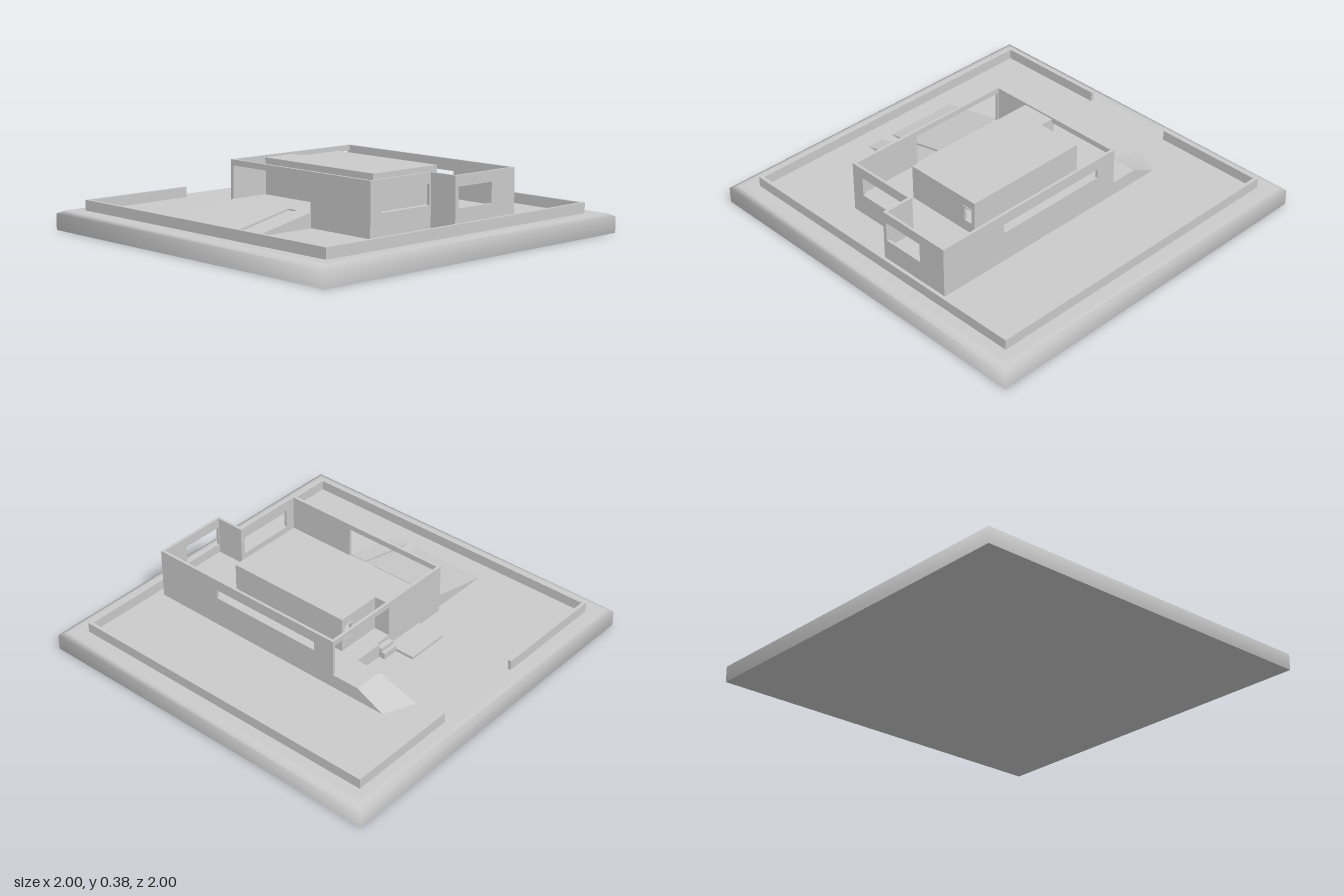
import * as THREE from 'three';

const T = 0.015; // house wall thickness

export function createModel() {
  const root = new THREE.Group();
  const mat = new THREE.MeshStandardMaterial({ color: 0xcccccc, side: THREE.DoubleSide });

  function add(name, geo) {
    const m = new THREE.Mesh(geo, mat);
    m.name = name;
    root.add(m);
    return m;
  }

  // Box from its limits on each axis
  function block(name, x0, x1, y0, y1, z0, z1) {
    const g = new THREE.BoxGeometry(x1 - x0, y1 - y0, z1 - z0);
    g.translate((x0 + x1) / 2, (y0 + y1) / 2, (z0 + z1) / 2);
    return add(name, g);
  }

  const outline = (pts) => pts.map(([a, b]) => new THREE.Vector2(a, b));

  // Upright wall along x or z, with rectangular holes [a0, a1, y0, y1]
  function wall(name, axis, a0, a1, at, top, holes = []) {
    const rect = (l, r, b, t) => outline([[l, b], [r, b], [r, t], [l, t]]);
    const shape = new THREE.Shape(rect(a0, a1, 0.1, top));
    for (const h of holes) shape.holes.push(new THREE.Path(rect(...h)));
    const g = new THREE.ExtrudeGeometry(shape, { depth: T, bevelEnabled: false });
    if (axis === 'z') g.rotateY(-Math.PI / 2).translate(at + T, 0, 0);
    else g.translate(0, 0, at);
    return add(name, g);
  }

  // Ground slab with a softened top edge
  const r = Math.SQRT2;
  const profile = outline([[r, 0], [r, 0.085], [0.97 * r, 0.1], [0.94 * r, 0.1], [0, 0.1]]);
  add('groundSlab', new THREE.LatheGeometry(profile, 4, Math.PI / 4));
  add('groundUnderside', new THREE.PlaneGeometry(2, 2).rotateX(Math.PI / 2));

  // Perimeter wall with an entrance gap at the back
  const F = 0.89, f = 0.018, fy = 0.155;
  for (const s of [-1, 1]) {
    const x = s * (F - f / 2);
    block('perimeterSide', x - f / 2, x + f / 2, 0.1, fy, -F - 0.01, F);
  }
  block('perimeterFront', -F + f, F - f, 0.1, fy, F - f, F);
  block('perimeterBackRight', -F + f, -0.25, 0.1, fy, -F - 0.01, -F - 0.01 + f);
  block('perimeterBackLeft', 0.27, F - f, 0.1, fy, -F - 0.01, -F - 0.01 + f);

  // Outer house walls, with a projecting bay at the front
  const top = 0.375, floor = 0.175;
  wall('backWall', 'x', -0.405, 0.42, -0.33, top, [[0, 0.405, floor, 0.345]]);
  wall('leftWall', 'z', -0.33 + T, 0.83 - T, 0.42 - T, top, [[-0.21, 0.44, 0.265, 0.315]]);
  wall('garageWall', 'z', -0.33 + T, 0.67 - T, -0.405, top, [[-0.31, 0.26, floor, 0.345]]);
  wall('frontWall', 'x', -0.405, 0, 0.67 - T, top, [[-0.335, -0.01, 0.215, 0.32]]);
  wall('bayReturnWall', 'z', 0.67 - T, 0.83 - T, 0, top);
  wall('bayFrontWall', 'x', 0, 0.42, 0.83 - T, top, [[0.02, 0.255, 0.215, 0.32]]);
  block('houseFloor', -0.39, 0.405, 0.1, floor, -0.315, 0.655);
  block('bayFloor', 0.015, 0.405, 0.1, 0.165, 0.655, 0.815);

  // Inner room with a notched corner beside the entrance
  const roomTop = 0.355, hatch = [[0.18, 0.23, 0.235, 0.315]];
  wall('roomFrontWall', 'x', -0.19, 0.25, 0.47 - T, roomTop, hatch);
  wall('roomEntranceWall', 'x', 0, 0.25, -0.24, roomTop, hatch);
  wall('roomGarageWall', 'z', -0.31, 0.455, -0.19, roomTop);
  wall('roomLeftWall', 'z', -0.225, 0.455, 0.25 - T, roomTop);
  wall('roomNotchWall', 'z', -0.315, -0.225, -T, roomTop);
  const roof = new THREE.Shape(outline([
    [-0.19, 0.315], [0, 0.315], [0, 0.24], [0.25, 0.24], [0.25, -0.47], [-0.19, -0.47]]));
  const roofGeo = new THREE.ExtrudeGeometry(roof, { depth: 0.015, bevelEnabled: false });
  add('roomRoof', roofGeo.rotateX(-Math.PI / 2).translate(0, roomTop - 0.005, 0));
  // Shallow window heads
  block('roomFrontWindowHead', 0.175, 0.235, 0.315, 0.32, 0.47, 0.475);
  block('roomBackWindowHead', 0.175, 0.235, 0.315, 0.32, -0.245, -0.24);

  // Garage ramp: two sloping beds with a sunken channel between them
  function garageRamp(name, xLow, drop, z0, z1) {
    const s = new THREE.Shape(outline([
      [xLow, 0.09], [-0.405, 0.09], [-0.405, 0.178 - drop], [xLow, 0.102 - drop]]));
    const g = new THREE.ExtrudeGeometry(s, { depth: z1 - z0, bevelEnabled: false });
    add(name, g.translate(0, 0, z0));
  }
  garageRamp('garageRampWide', -0.765, 0, -0.31, 0.105);
  garageRamp('garageRampChannel', -0.75, 0.01, 0.105, 0.17);
  garageRamp('garageRampNarrow', -0.765, 0, 0.17, 0.265);

  // Entrance landing, steps and terrace
  block('entranceLanding', 0.255, 0.42, 0.1, floor, -0.485, -0.33);
  block('entranceWalk', 0.09, 0.255, 0.1, floor, -0.345, -0.33);
  block('landingPost', 0.24, 0.255, 0.1, floor, -0.485, -0.445);
  block('lowerStep', 0, 0.09, 0.1, 0.135, -0.38, -0.33);
  block('upperStep', 0, 0.09, 0.1, 0.155, -0.36, -0.33);
  block('terrace', -0.24, 0, 0.1, 0.115, -0.485, -0.33);

  // Entrance ramp: a box whose far edge drops to the ground on a slant
  const rampGeo = new THREE.BoxGeometry(0.165, 0.08, 0.2).translate(0.3375, 0.135, -0.585);
  const p = rampGeo.attributes.position;
  for (let i = 0; i < p.count; i++) {
    if (p.getZ(i) > -0.6) continue;
    p.setZ(i, p.getX(i) < 0.3 ? -0.715 : -0.64);
    p.setY(i, p.getY(i) > 0.12 ? 0.1005 : 0.095);
  }
  rampGeo.computeVertexNormals();
  add('entranceRamp', rampGeo);

  return root;
}
